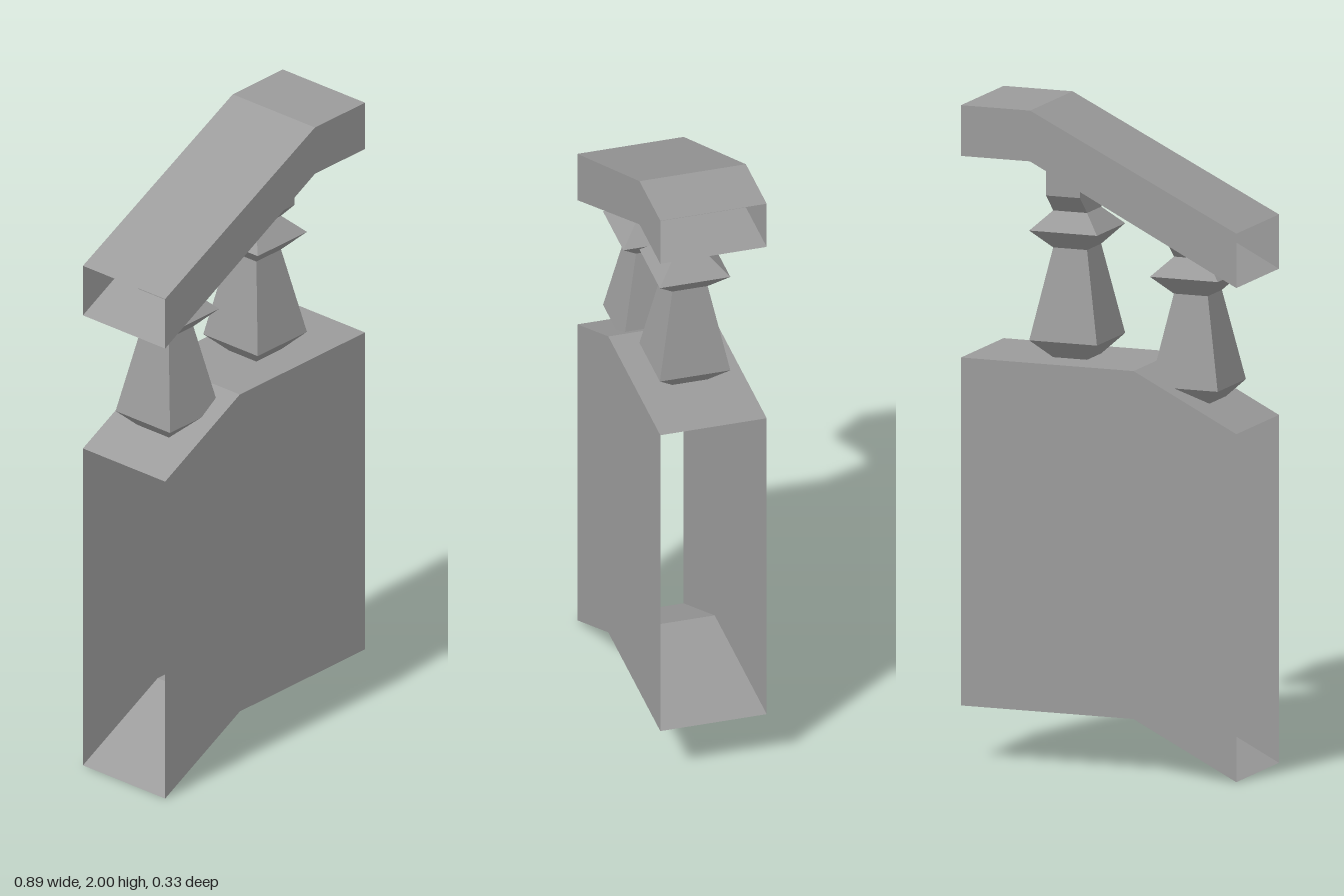
import * as THREE from 'three';

const material = new THREE.MeshStandardMaterial({ color: 0x9b9b9b, flatShading: true, side: THREE.DoubleSide });
const HALF_DEPTH = 0.166;
const HALF_WIDTH = 0.447;

// Rectangular sleeve, open at both ends, lofted through [x, bottom, top] sections
function sleeve(name, sections) {
  const positions = [], index = [];
  sections.forEach(([x, lo, hi], s) => {
    const d = HALF_DEPTH;
    positions.push(x, hi, d, x, hi, -d, x, lo, -d, x, lo, d);
    if (s === 0) return;
    for (let i = 0; i < 4; i++) {
      const j = (i + 1) % 4, p = (s - 1) * 4, q = s * 4;
      index.push(p + i, q + i, p + j, p + j, q + i, q + j);
    }
  });
  const geometry = new THREE.BufferGeometry();
  geometry.setAttribute('position', new THREE.Float32BufferAttribute(positions, 3));
  geometry.setIndex(index);
  geometry.computeVertexNormals();
  const mesh = new THREE.Mesh(geometry, material);
  mesh.name = name;
  return mesh;
}

// Square baluster with a flared head that is wide front to back
function baluster(name, x, y) {
  const group = new THREE.Group();
  group.name = name;

  const profile = [[0, 0], [0.055, 0], [0.11, 0.057], [0.055, 0.335], [0.11, 0.392], [0.055, 0.448]]
    .map(([half, h]) => new THREE.Vector2(half * Math.SQRT2, h));
  const shaft = new THREE.Mesh(new THREE.LatheGeometry(profile, 4).rotateY(Math.PI / 4), material);
  shaft.name = 'balusterShaft';

  const outline = [[-0.055, 0.448], [0.055, 0.448], [0.11, 0.503], [0.11, 0.603], [-0.11, 0.603], [-0.11, 0.503]]
    .map(([z, h]) => new THREE.Vector2(z, h));
  const headGeometry = new THREE.ExtrudeGeometry(new THREE.Shape(outline), { depth: 0.11, bevelEnabled: false });
  headGeometry.translate(0, 0, -0.055).rotateY(Math.PI / 2);
  const head = new THREE.Mesh(headGeometry, material);
  head.name = 'balusterHead';

  group.add(shaft, head);
  group.position.set(x, y, 0);
  return group;
}

export function createModel() {
  const model = new THREE.Group();
  model.name = 'stairBalustrade';
  model.add(
    sleeve('baseWall', [[-HALF_WIDTH, 0, 1.062], [-0.113, 0.168, 1.23], [HALF_WIDTH, 0.168, 1.23]]),
    sleeve('handrail', [[-HALF_WIDTH, 1.508, 1.674], [0.223, 1.845, 2], [HALF_WIDTH, 1.845, 2]]),
    baluster('lowerBaluster', -0.253, 1.118),
    baluster('upperBaluster', 0.139, 1.23)
  );
  return model;
}
